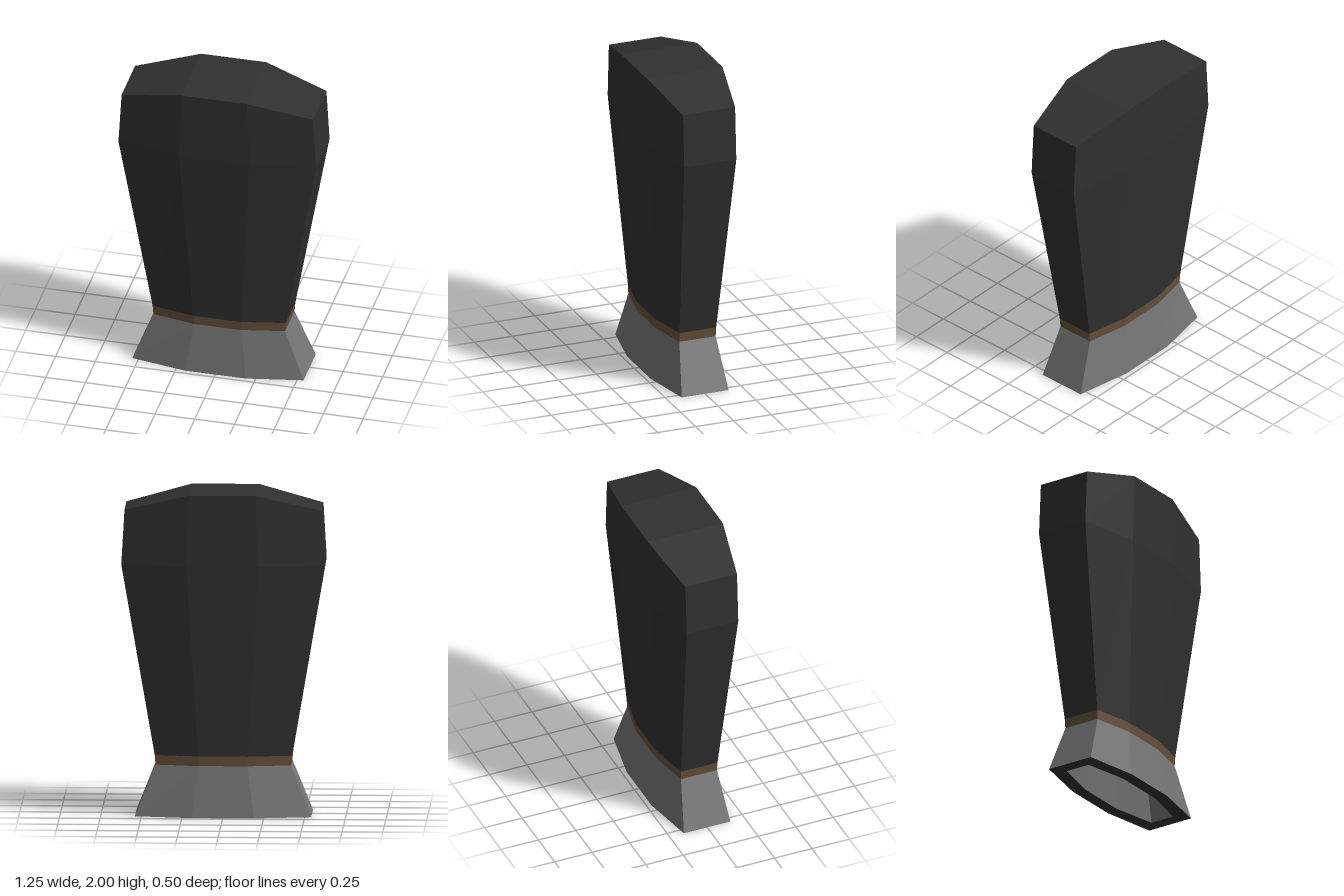
import * as THREE from 'three';

// Eight-sided ring, counter-clockwise from above: half width, middle half width,
// half depth at the middle and at the ends, height at the middle and at the ends
function ring(hw, xm, zc, ze, y, yEnd = y) {
  return [
    [hw, yEnd, ze], [hw, yEnd, -ze], [xm, y, -zc], [-xm, y, -zc],
    [-hw, yEnd, -ze], [-hw, yEnd, ze], [-xm, y, zc], [xm, y, zc],
  ];
}

const quad = (out, a, b, c, d) => out.push(...a, ...b, ...c, ...a, ...c, ...d);

// Walls joining successive rings
function loft(out, rings) {
  for (let r = 0; r < rings.length - 1; r++) {
    const lo = rings[r], hi = rings[r + 1];
    for (let i = 0; i < 8; i++) {
      const j = (i + 1) % 8;
      quad(out, lo[i], lo[j], hi[j], hi[i]);
    }
  }
  return out;
}

// Three panels closing a ring, facing up or down
function cap(out, p, down = false) {
  for (const ids of [[0, 1, 2, 7], [7, 2, 3, 6], [6, 3, 4, 5]]) {
    if (down) ids.reverse();
    quad(out, ...ids.map((i) => p[i]));
  }
  return out;
}

function part(name, positions, color) {
  const geometry = new THREE.BufferGeometry();
  geometry.setAttribute('position', new THREE.Float32BufferAttribute(positions, 3));
  geometry.computeVertexNormals();
  const mesh = new THREE.Mesh(geometry, new THREE.MeshStandardMaterial({ color, flatShading: true }));
  mesh.name = name;
  return mesh;
}

export function createModel() {
  const group = new THREE.Group();
  group.name = 'tallHat';

  const hem = ring(0.54, 0.19, 0.22, 0.155, 0);
  const neck = ring(0.415, 0.15, 0.172, 0.12, 0.315);
  const bandTop = ring(0.42, 0.152, 0.175, 0.121, 0.375);
  const shoulder = ring(0.623, 0.222, 0.25, 0.172, 1.56);
  const crown = ring(0.603, 0.205, 0.25, 0.172, 2, 1.9);
  const opening = ring(0.455, 0.17, 0.14, 0.08, 0);
  const ceiling = ring(0.35, 0.13, 0.1, 0.05, 0.31);

  // Tapered body with a sloped top
  group.add(part('body', cap(loft([], [bandTop, shoulder, crown]), crown), 0x303030));
  // Thin band around the neck
  group.add(part('band', loft([], [neck, bandTop]), 0x66503a));
  // Flared cuff, its dark lower rim and its hollow inside
  group.add(part('cuff', loft([], [hem, neck]), 0x757575));
  group.add(part('rim', loft([], [opening, hem]), 0x303030));
  group.add(part('lining', cap(loft([], [ceiling, opening]), ceiling, true), 0x757575));

  return group;
}
